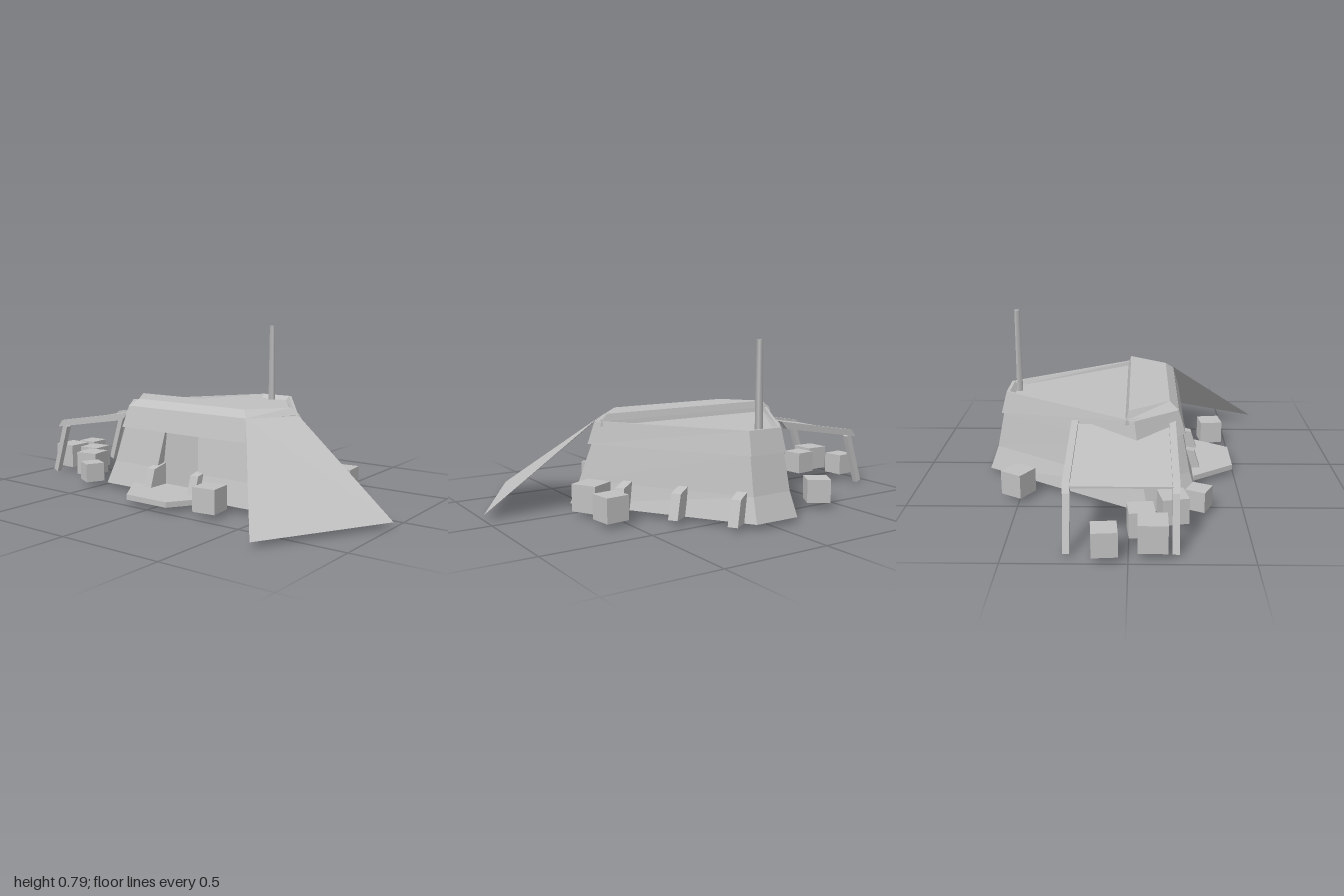
import * as THREE from 'three';

const grey = new THREE.MeshStandardMaterial({ color: 0xc0c0c0, side: THREE.DoubleSide });
grey.name = 'plainGrey';

// Flat-sided mesh from a list of quads (corners counter-clockwise from outside)
function quadMesh(name, quads) {
  const pos = [];
  for (const [a, b, c, d] of quads) pos.push(...a, ...b, ...c, ...a, ...c, ...d);
  const g = new THREE.BufferGeometry();
  g.setAttribute('position', new THREE.Float32BufferAttribute(pos, 3));
  g.computeVertexNormals();
  const m = new THREE.Mesh(g, grey);
  m.name = name;
  return m;
}

// Walls between stacked rings of [x, z] points; `skip` leaves one side open
function wallQuads(rings, skip = -1) {
  const quads = [];
  for (let r = 0; r + 1 < rings.length; r++) {
    const lo = rings[r], hi = rings[r + 1], n = lo.length;
    for (let i = 0; i < n; i++) {
      const j = (i + 1) % n;
      if (i !== skip) quads.push([lo[j], lo[i], hi[i], hi[j]]);
    }
  }
  return quads;
}

// Upward-facing lid over a ring
function capQuads(ring) {
  const quads = [];
  for (let i = 1; i + 1 < ring.length; i++) quads.push([ring[0], ring[i + 1], ring[i], ring[i]]);
  return quads;
}

// Six-sided hull outline, mirrored about x = -0.01
function hullRing(y, back, backHalf, sideHalf, sideZ, frontHalf, front) {
  const c = -0.012;
  return [[c - backHalf, y, back], [c + backHalf, y, back], [c + sideHalf, y, sideZ],
    [c + frontHalf, y, front], [c - frontHalf, y, front], [c - sideHalf, y, sideZ]];
}

// Extruded outline in x-y, centred on its depth
function slab(name, points, depth) {
  const shape = new THREE.Shape(points.map(([x, y]) => new THREE.Vector2(x, y)));
  const g = new THREE.ExtrudeGeometry(shape, { depth, bevelEnabled: false });
  g.translate(0, 0, -depth / 2);
  const m = new THREE.Mesh(g, grey);
  m.name = name;
  return m;
}

export function createModel() {
  const model = new THREE.Group();
  model.name = 'outpost';

  // Lower walls, open below, with the front side left for the doorway
  const base = hullRing(0.025, -0.685, 0.112, 0.607, 0.08, 0.43, 0.3);
  const sill = hullRing(0.135, -0.645, 0.1, 0.567, 0.06, 0.4, 0.268);
  const eave = hullRing(0.31, -0.61, 0.092, 0.515, 0.03, 0.363, 0.235);
  model.add(quadMesh('lowerWalls', wallQuads([base, sill, eave], 3)));

  // Front wall on both sides of the door, with jambs and a recessed door
  const doorZ = 0.222, cx = -0.015;
  const doorHalf = [0.135, 0.123, 0.1];
  const front = [];
  [base, sill, eave].slice(0, 2).forEach((lo, r) => {
    const hi = [sill, eave][r];
    const [yl, zl] = [lo[3][1], lo[3][2]], [yh, zh] = [hi[3][1], hi[3][2]];
    const l = doorHalf[r], h = doorHalf[r + 1];
    front.push([lo[4], [cx - l, yl, zl], [cx - h, yh, zh], hi[4]]);
    front.push([[cx + l, yl, zl], lo[3], hi[3], [cx + h, yh, zh]]);
    front.push([[cx - l, yl, zl], [cx - l, yl, doorZ], [cx - h, yh, doorZ], [cx - h, yh, zh]]);
    front.push([[cx + l, yl, doorZ], [cx + l, yl, zl], [cx + h, yh, zh], [cx + h, yh, doorZ]]);
    front.push([[cx - l, yl, doorZ], [cx + l, yl, doorZ], [cx + h, yh, doorZ], [cx - h, yh, doorZ]]);
  });
  model.add(quadMesh('frontWallAndDoor', front));

  // Overhanging upper band, parapet and sunken roof
  const bandLow = hullRing(0.305, -0.622, 0.096, 0.535, 0.035, 0.372, 0.248);
  const bandTop = hullRing(0.41, -0.595, 0.088, 0.505, 0.02, 0.352, 0.218);
  const rim = hullRing(0.41, -0.58, 0.082, 0.485, 0.012, 0.34, 0.2);
  const pit = hullRing(0.39, -0.56, 0.076, 0.465, 0.0, 0.325, 0.185);
  model.add(quadMesh('upperBand', wallQuads([eave, bandLow, bandTop, rim, pit])));
  model.add(quadMesh('roof', capQuads(pit)));

  // Raised front roof plate
  const plate = (y, half, back, frontHalf, z) =>
    [[cx - half, y, back], [cx + half, y, back], [cx + frontHalf, y, z], [cx - frontHalf, y, z]];
  const plateLow = plate(0.39, 0.5, -0.02, 0.35, 0.217);
  const plateMid = plate(0.41, 0.492, -0.015, 0.352, 0.217);
  const plateTop = plate(0.443, 0.455, -0.005, 0.318, 0.178);
  model.add(quadMesh('raisedRoofPlate', [...wallQuads([plateLow, plateMid, plateTop]), ...capQuads(plateTop)]));

  // Mast at the back, slightly tapered
  const mast = new THREE.Mesh(new THREE.CylinderGeometry(0.014, 0.018, 0.4, 4).rotateY(Math.PI / 4), grey);
  mast.name = 'mast';
  mast.position.set(-0.017, 0.59, -0.543);
  model.add(mast);

  // Sloping sheet from the roof corner to the ground
  model.add(quadMesh('slopingSheet', [
    [[0.34, 0.41, 0.22], [0.68, 0.025, 0.68], [1.0, 0.025, 0.1], [0.495, 0.41, 0.02]]]));

  // Doorstep
  const step = slab('doorstep', [[-0.265, -0.3], [-0.265, -0.2], [0.23, -0.2], [0.23, -0.3], [0.105, -0.493], [-0.13, -0.493]], 0.025);
  step.rotation.x = -Math.PI / 2;
  step.position.y = 0.0375;
  model.add(step);

  // Buttresses: three on the right rear wall, two beside the door
  const ribShape = [[-0.03, 0.025], [0.095, 0.025], [0.06, 0.135], [-0.03, 0.155]];
  const addRib = (x, z, angle) => {
    const rib = slab('buttress', ribShape, 0.045);
    rib.position.set(x, 0, z);
    rib.rotation.y = angle;
    model.add(rib);
  };
  for (let i = 0; i < 3; i++) addRib(0.13 + i * 0.149, -0.61 + i * 0.228, 0.58);
  for (const x of [-0.146, 0.116]) addRib(x, 0.245, -Math.PI / 2);

  // Awning on the right-hand side: panel, two rails and two legs
  const railShape = [[-0.9, 0.25], [-0.425, 0.33], [-0.39, 0.37], [-0.87, 0.288]];
  const legShape = [[-0.945, 0.012], [-0.918, 0.0], [-0.835, 0.255], [-0.865, 0.262]];
  for (const z of [0.188, -0.245]) {
    const rail = slab('awningRail', railShape, 0.03);
    const leg = slab('awningLeg', legShape, 0.028);
    rail.position.z = leg.position.z = z;
    model.add(rail, leg);
  }
  const panel = slab('awningPanel', [[-0.885, 0.265], [-0.4, 0.347], [-0.4, 0.355], [-0.885, 0.273]], 0.41);
  panel.position.z = -0.028;
  model.add(panel);

  // Crates scattered round the walls: x, z, turn, size
  const crates = [[-0.4, -0.507, -0.55, 0.11], [-0.945, -0.095, 0.08, 0.105], [-0.905, 0.097, 0, 0.12],
    [-0.78, 0.05, 0.1, 0.11], [-0.662, 0.185, 0.2, 0.115], [-0.545, 0.302, -0.45, 0.092],
    [0.287, 0.413, 0.12, 0.11], [0.57, -0.273, 0.1, 0.112], [0.565, -0.08, 0.5, 0.125]];
  for (const [x, z, turn, size] of crates) {
    const crate = new THREE.Mesh(new THREE.BoxGeometry(size, size, size), grey);
    crate.name = 'crate';
    crate.position.set(x, 0.025 + size / 2, z);
    crate.rotation.y = turn;
    model.add(crate);
  }
  return model;
}
